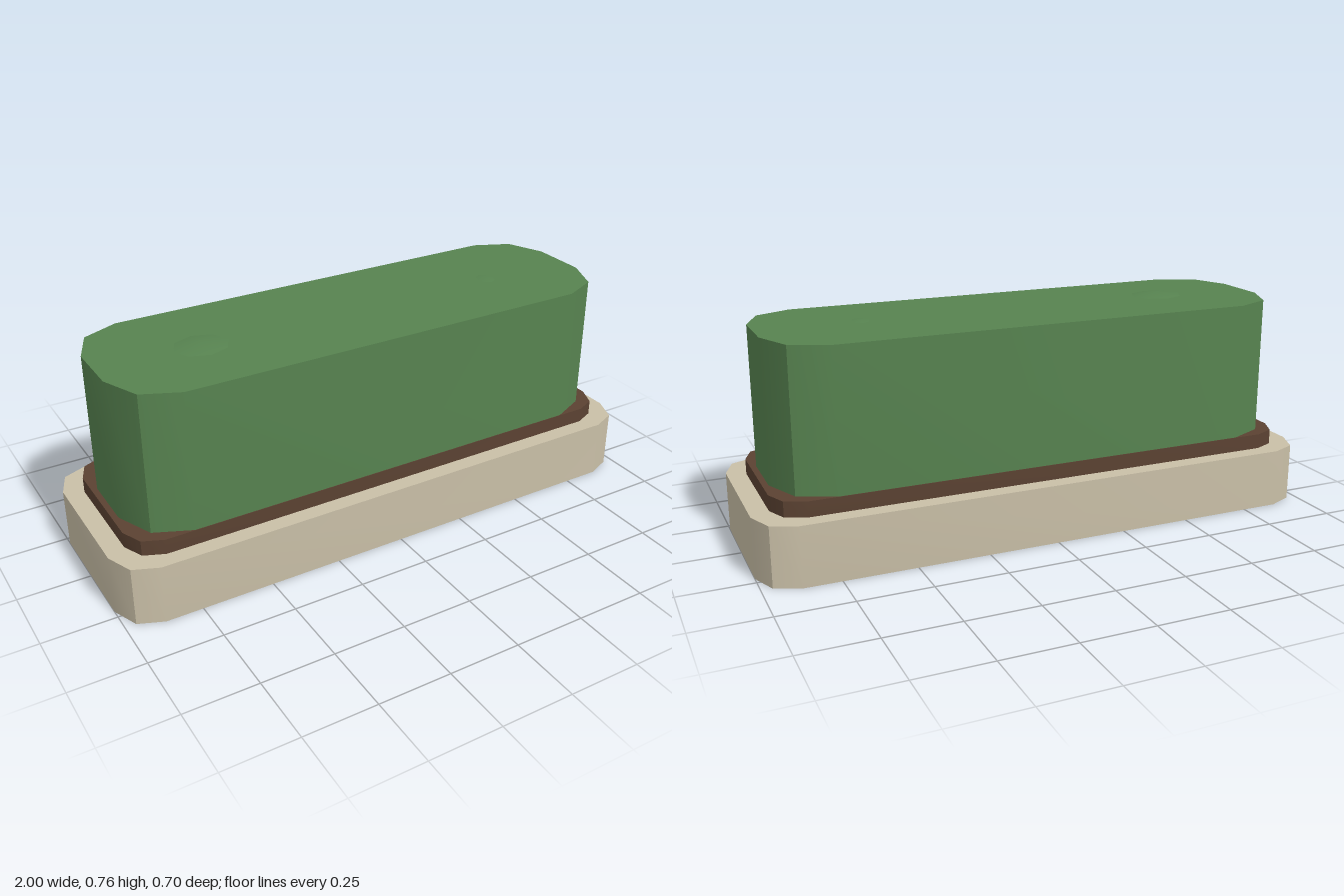
import * as THREE from 'three';
import { toCreasedNormals } from 'three/addons/utils/BufferGeometryUtils.js';

const material = (name, color) => {
  const m = new THREE.MeshStandardMaterial({ color });
  m.name = name;
  return m;
};

// Upright slab whose outline mirrors one three-point corner into all quarters
function slab(name, corner, bottom, top, mat) {
  const back = [...corner].reverse();
  const outline = [
    ...corner,
    ...back.map(([x, z]) => [-x, z]),
    ...corner.map(([x, z]) => [-x, -z]),
    ...back.map(([x, z]) => [x, -z]),
  ].map(([x, z]) => new THREE.Vector2(x, z));
  const geometry = new THREE.ExtrudeGeometry(new THREE.Shape(outline), {
    depth: top - bottom, bevelEnabled: false,
  });
  geometry.rotateX(-Math.PI / 2).translate(0, bottom, 0);
  const mesh = new THREE.Mesh(toCreasedNormals(geometry, 0.55), mat);
  mesh.name = name;
  return mesh;
}

export function createModel() {
  const group = new THREE.Group();
  group.name = 'hedgePlanter';
  const stone = material('stone', 0xc9bfa7);
  const soil = material('soil', 0x5b4232);
  const leaf = material('leaf', 0x578350);

  group.add(
    slab('planterBase', [[1, 0.22], [0.963, 0.312], [0.877, 0.348]], 0, 0.207, stone),
    slab('soilBed', [[0.936, 0.187], [0.905, 0.26], [0.835, 0.29]], 0.207, 0.26, soil),
    slab('hedge', [[0.916, 0.1], [0.86, 0.232], [0.735, 0.288]], 0.26, 0.745, leaf),
  );

  // Shallow swells on the clipped top
  for (const [x, rx, rz, h] of [[-0.56, 0.095, 0.082, 0.013], [0.56, 0.03, 0.04, 0.004]]) {
    const geometry = new THREE.ConeGeometry(1, 1, 8, 1, true);
    geometry.scale(rx, h, rz).translate(x, 0.745 + h / 2, 0.015);
    const swell = new THREE.Mesh(toCreasedNormals(geometry, 0.55), leaf);
    swell.name = 'hedgeTopSwell';
    group.add(swell);
  }
  return group;
}
